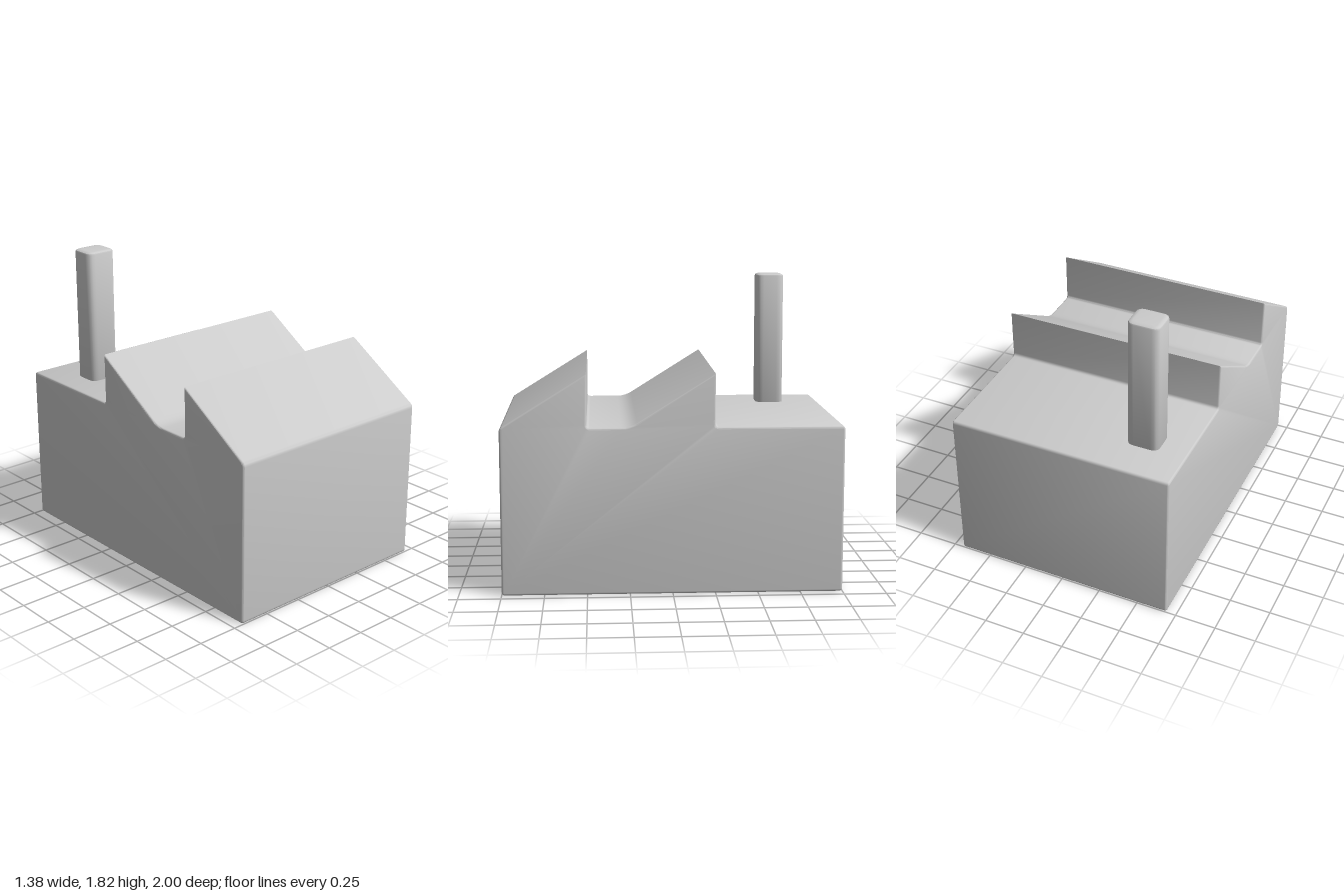
import * as THREE from 'three';
import { toCreasedNormals } from 'three/addons/utils/BufferGeometryUtils.js';

// Closed shape from corners [x, y, cut]; each corner is rounded by its cut length
function roundedShape(corners) {
  const shape = new THREE.Shape();
  const n = corners.length;
  corners.forEach(([x, y, cut], i) => {
    const p = new THREE.Vector2(x, y);
    const toward = (c) => new THREE.Vector2(c[0], c[1]).sub(p).setLength(cut).add(p);
    const a = toward(corners[(i + n - 1) % n]);
    const b = toward(corners[(i + 1) % n]);
    if (i === 0) shape.moveTo(a.x, a.y);
    else shape.lineTo(a.x, a.y);
    if (cut > 0) shape.quadraticCurveTo(p.x, p.y, b.x, b.y);
  });
  shape.closePath();
  return shape;
}

// Extrusion whose bevels stay inside the outline and the given length
function bevelledExtrude(shape, length, size, thickness) {
  return new THREE.ExtrudeGeometry(shape, {
    depth: length - 2 * thickness,
    bevelEnabled: true,
    bevelSize: size,
    bevelOffset: -size,
    bevelThickness: thickness,
    bevelSegments: 3,
    curveSegments: 4,
  }).translate(0, 0, thickness);
}

export function createModel() {
  const group = new THREE.Group();
  const material = new THREE.MeshStandardMaterial({ color: 0xcccccc });
  const add = (name, geometry) => {
    const mesh = new THREE.Mesh(toCreasedNormals(geometry, 0.6), material);
    mesh.name = name;
    group.add(mesh);
    return mesh;
  };

  // Hall with sawtooth roof: side profile as [z, y, cut], extruded across x
  const width = 1.38;
  const profile = [
    [-1, 0, 0.02], [1, 0, 0.02], [1, 0.985, 0.02],
    [0.5, 1.295, 0], [0.5, 0.985, 0.02], [0.25, 0.985, 0.05],
    [-0.245, 1.295, 0], [-0.245, 0.985, 0.02], [-1, 0.985, 0.02],
  ];
  const hall = bevelledExtrude(roundedShape(profile), width, 0.012, 0.012);
  hall.translate(0, 0, -width / 2).rotateY(-Math.PI / 2);
  add('factoryHall', hall);

  // Square chimney with rounded edges, rising from the flat rear roof
  const hx = 0.098, hz = 0.086, base = 0.95, top = 1.815;
  const plan = [[-hx, -hz, 0.045], [hx, -hz, 0.045], [hx, hz, 0.045], [-hx, hz, 0.045]];
  const chimney = bevelledExtrude(roundedShape(plan), top - base, 0.025, 0.015);
  chimney.rotateX(-Math.PI / 2);
  add('chimney', chimney).position.set(-0.421, base, -0.682);

  return group;
}
